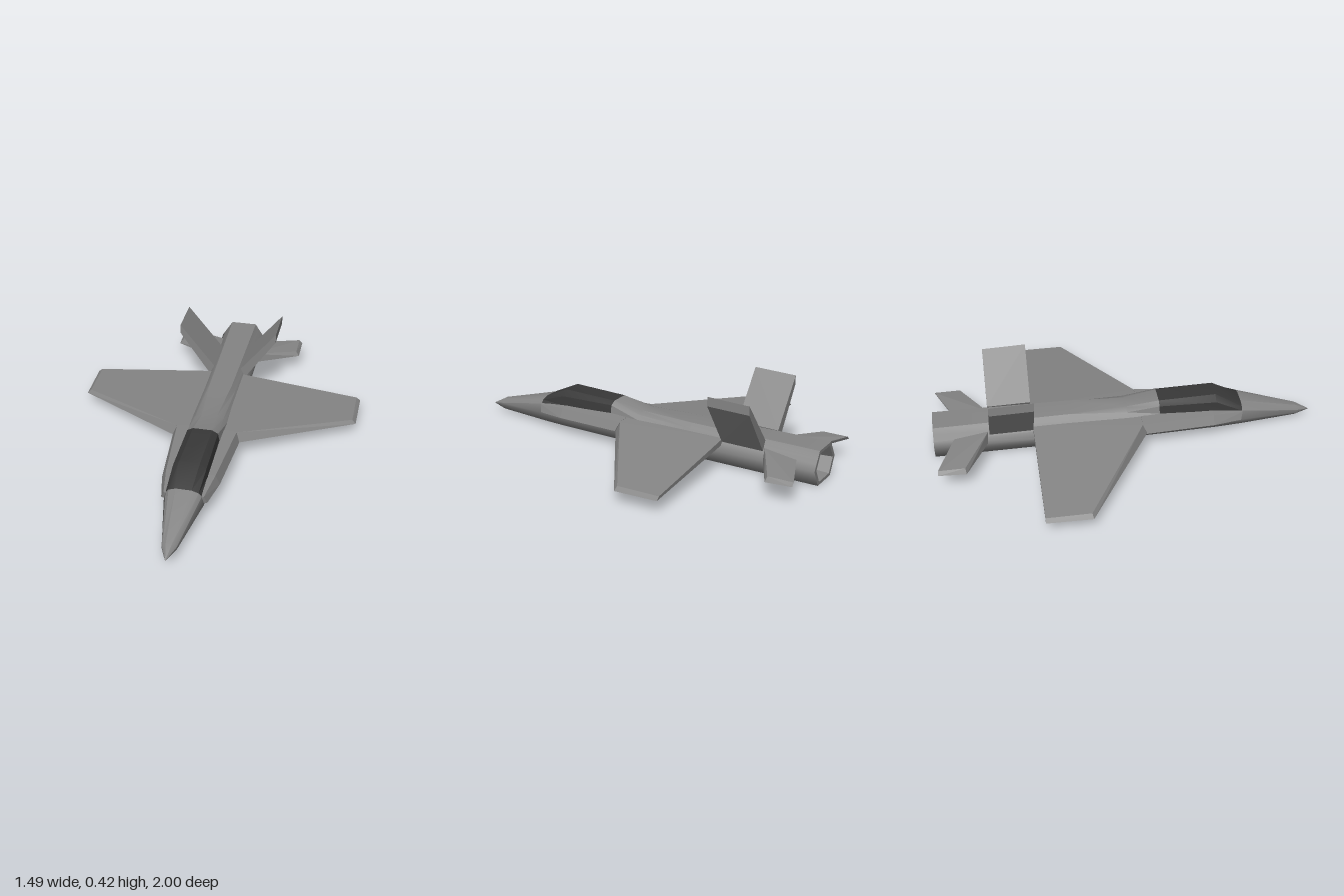
import * as THREE from 'three';
import { toCreasedNormals } from 'three/addons/utils/BufferGeometryUtils.js';
import { ConvexGeometry } from 'three/addons/geometries/ConvexGeometry.js';

const BODY_COLOR = 0x858585;
const grey = new THREE.MeshStandardMaterial({ color: BODY_COLOR, side: THREE.DoubleSide });
const flatGrey = new THREE.MeshStandardMaterial({ color: BODY_COLOR, flatShading: true });
const dark = new THREE.MeshStandardMaterial({ color: 0x383838, side: THREE.DoubleSide });

// Body stations: z, then half-width and height of roof, upper side, shoulder, waist and belly.
const STATIONS = [
  [1.00, 0, 0.037, 0, 0.037, 0, 0.037, 0, 0.037, 0, 0.037],
  [0.92, 0.015, 0.08, 0.03, 0.07, 0.036, 0.06, 0.036, 0.045, 0.015, 0.02],
  [0.61, 0.04, 0.16, 0.075, 0.148, 0.09, 0.13, 0.1, 0.08, 0.05, 0.017],
  [0.47, 0.052, 0.225, 0.084, 0.195, 0.09, 0.145, 0.108, 0.085, 0.06, 0.016],
  [0.17, 0.05, 0.215, 0.08, 0.198, 0.088, 0.158, 0.12, 0.09, 0.07, 0.013],
  [0.00, 0.04, 0.188, 0.075, 0.175, 0.095, 0.152, 0.125, 0.09, 0.075, 0.012],
  [-0.30, 0.06, 0.186, 0.082, 0.162, 0.103, 0.13, 0.125, 0.09, 0.075, 0.01],
  [-1.00, 0.07, 0.18, 0.088, 0.15, 0.107, 0.12, 0.125, 0.09, 0.075, 0],
];
const FIRST_GLASS = 2, LAST_GLASS = 4;

// Full ring of ten points, clockwise from the right-hand shoulder over the roof.
function ring([z, ...p]) {
  const at = (i, side) => new THREE.Vector3(side * p[2 * i], p[2 * i + 1], z);
  return [at(2, -1), at(1, -1), at(0, -1), at(0, 1), at(1, 1), at(2, 1),
    at(3, 1), at(4, 1), at(4, -1), at(3, -1)];
}

function scaledRing(points, s, z) {
  return points.map((p) => new THREE.Vector3(p.x * s, 0.09 + (p.y - 0.09) * s, z));
}

// Skin between consecutive rings; keep(ringIndex, sideIndex) picks the panels.
function skin(rings, crease, keep) {
  const pos = [];
  for (let i = 0; i < rings.length - 1; i++) {
    for (let j = 0; j < 10; j++) {
      if (!keep(i, j)) continue;
      const k = (j + 1) % 10;
      const a = rings[i][j], b = rings[i][k], c = rings[i + 1][k], d = rings[i + 1][j];
      for (const t of [[a, c, b], [a, d, c]]) {
        // Skip the collapsed triangles at the pointed ends
        if (new THREE.Triangle(...t).getArea() < 1e-9) continue;
        for (const v of t) pos.push(v.x, v.y, v.z);
      }
    }
  }
  const g = new THREE.BufferGeometry();
  g.setAttribute('position', new THREE.Float32BufferAttribute(pos, 3));
  return toCreasedNormals(g, crease);
}

// Corner points [x, y, z] of the surfaces on the left side
const SURFACES = {
  wing: [
    [0.08, 0.155, 0.1], [0.158, 0.149, 0.07], [0.17, 0.1, 0.09], [0.08, 0.093, 0.1],
    [0.725, 0.083, -0.265], [0.745, 0.063, -0.26],
    [0.08, 0.15, -0.49], [0.08, 0.12, -0.49], [0.725, 0.081, -0.49], [0.745, 0.065, -0.49],
  ],
  strake: [
    [0.07, 0.135, 0.61], [0.07, 0.085, 0.61], [0.1, 0.13, 0.61], [0.115, 0.09, 0.6],
    [0.07, 0.15, 0.45], [0.125, 0.145, 0.45], [0.147, 0.095, 0.45], [0.08, 0.085, 0.45],
    [0.08, 0.157, 0.07], [0.158, 0.15, 0.07], [0.177, 0.102, 0.09], [0.08, 0.093, 0.07],
  ],
  verticalFin: [
    [0.075, 0.185, -0.49], [0.1, 0.135, -0.49], [0.265, 0.423, -0.49], [0.265, 0.374, -0.49],
    [0.075, 0.18, -0.715], [0.1, 0.13, -0.715], [0.265, 0.415, -0.715], [0.265, 0.368, -0.715],
  ],
  tailplane: [
    [0.09, 0.145, -0.72], [0.1, 0.092, -0.715], [0.335, 0.115, -0.85], [0.352, 0.09, -0.845],
    [0.09, 0.125, -0.89], [0.1, 0.11, -0.89], [0.335, 0.113, -0.985], [0.352, 0.096, -0.985],
  ],
};

export function createModel() {
  const model = new THREE.Group();
  const add = (name, geometry, material) => {
    const mesh = new THREE.Mesh(geometry, material);
    mesh.name = name;
    model.add(mesh);
  };

  // Fuselage and canopy share one set of rings; the underside is rounded
  const rings = STATIONS.map(ring);
  const isGlass = (i, j) => i >= FIRST_GLASS && i < LAST_GLASS && j < 5;
  add('upperFuselage', skin(rings, 0.5, (i, j) => j < 5 && !isGlass(i, j)), grey);
  add('lowerFuselage', skin(rings, 1.1, (i, j) => j >= 5), grey);
  add('canopy', skin(rings, 0.5, isGlass), dark);

  // Hollow exhaust nozzle: rim, inner wall and back plate
  const tail = rings[rings.length - 1];
  const nozzle = [tail, scaledRing(tail, 0.82, -1), scaledRing(tail, 0.72, -0.9), scaledRing(tail, 0, -0.9)];
  add('nozzle', skin(nozzle, 0.5, () => true), grey);

  // Mirrored wings, strakes and tail surfaces
  for (const [side, label] of [[1, 'left'], [-1, 'right']]) {
    for (const [name, corners] of Object.entries(SURFACES)) {
      const points = corners.map(([x, y, z]) => new THREE.Vector3(side * x, y, z));
      add(label + name[0].toUpperCase() + name.slice(1), new ConvexGeometry(points), flatGrey);
    }
  }
  return model;
}
